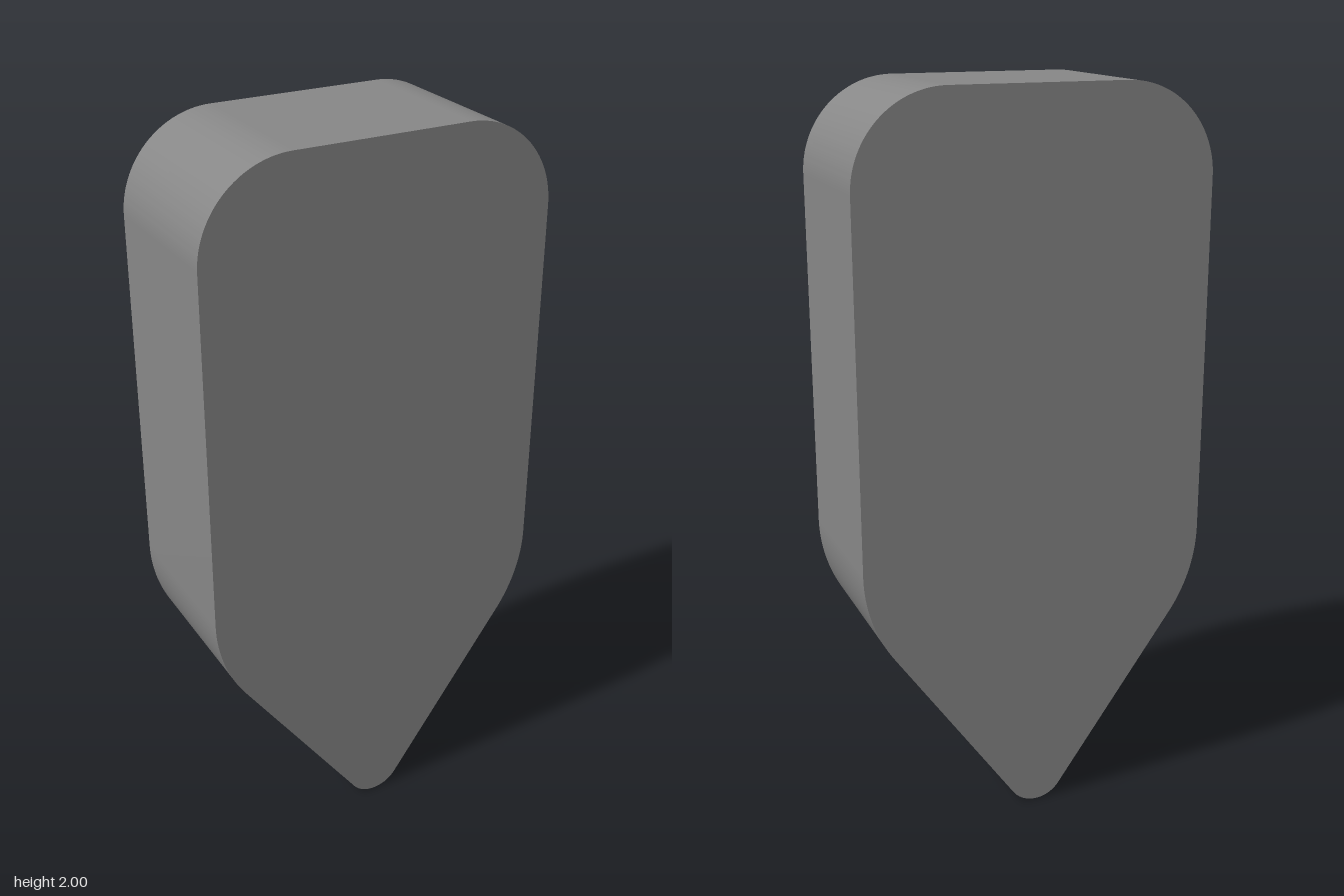
import * as THREE from 'three';
import { toCreasedNormals } from 'three/addons/utils/BufferGeometryUtils.js';

const HALF_WIDTH = 0.49, HEIGHT = 2, DEPTH = 0.45;
const TOP_R = 0.25, SHOULDER_R = 0.435, TIP_R = 0.085;
const SLANT = 0.616; // angle of the tapered flanks from vertical

// Plate outline: each arc meets the straight edges tangentially
function plateOutline() {
  const shoulderX = HALF_WIDTH - SHOULDER_R;
  const shoulderY = TIP_R + (shoulderX + (SHOULDER_R - TIP_R) * Math.cos(SLANT)) / Math.tan(SLANT)
    + (SHOULDER_R - TIP_R) * Math.sin(SLANT);
  const topX = HALF_WIDTH - TOP_R, topY = HEIGHT - TOP_R;
  const s = new THREE.Shape();
  s.absarc(0, TIP_R, TIP_R, -Math.PI + SLANT, -SLANT);
  s.absarc(shoulderX, shoulderY, SHOULDER_R, -SLANT, 0);
  s.absarc(topX, topY, TOP_R, 0, Math.PI / 2);
  s.absarc(-topX, topY, TOP_R, Math.PI / 2, Math.PI);
  s.absarc(-shoulderX, shoulderY, SHOULDER_R, Math.PI, Math.PI + SLANT);
  s.closePath();
  return s;
}

export function createModel() {
  const group = new THREE.Group();
  group.name = 'pointedPlate';

  // Thick plate, smooth around the rim and sharp at the flat faces
  const extruded = new THREE.ExtrudeGeometry(plateOutline(), {
    depth: DEPTH, bevelEnabled: false, curveSegments: 24,
  });
  extruded.translate(0, 0, -DEPTH / 2);
  const plate = new THREE.Mesh(
    toCreasedNormals(extruded, 0.5),
    new THREE.MeshStandardMaterial({ color: 0x878787 }),
  );
  plate.name = 'plate';
  group.add(plate);
  return group;
}
